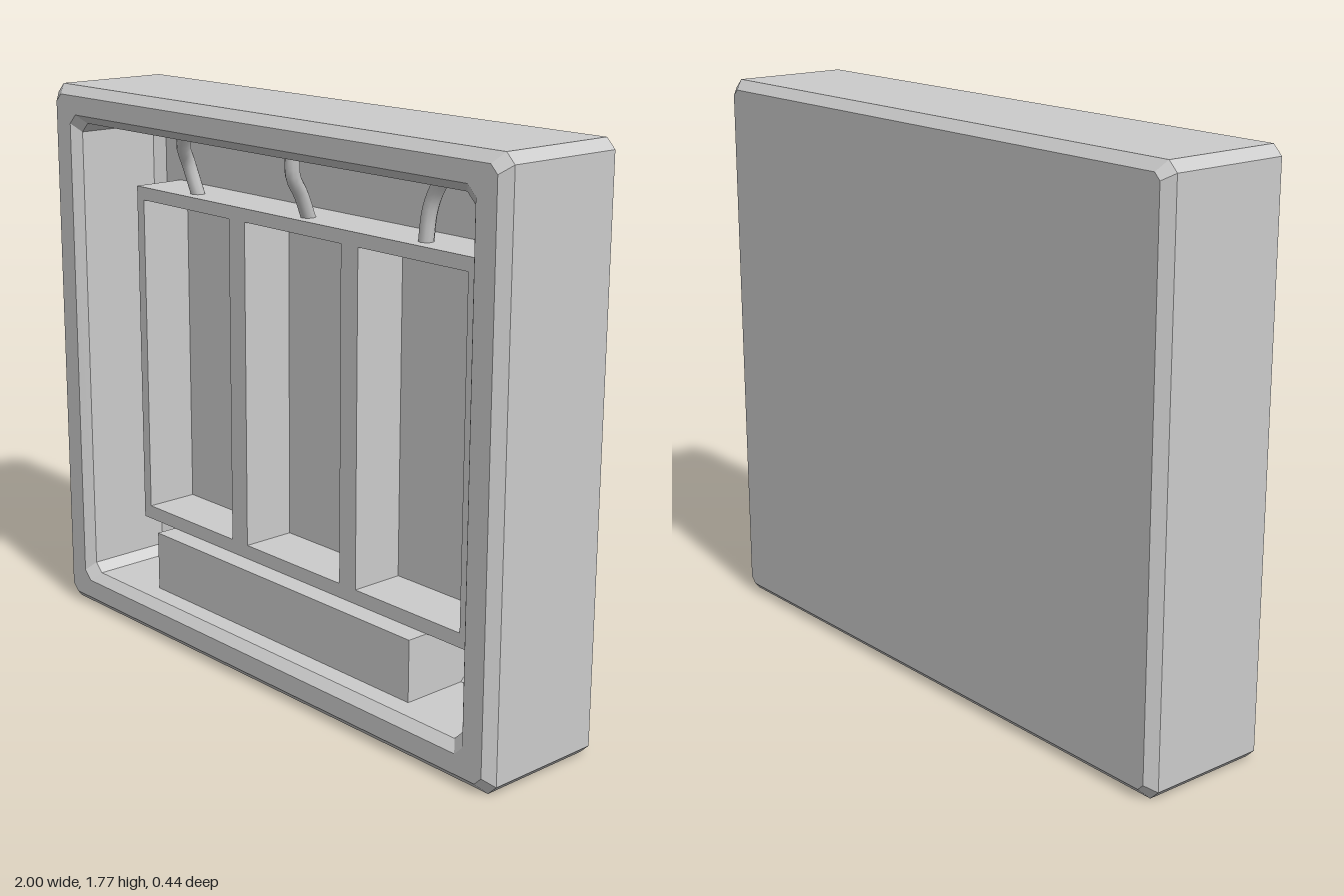
import * as THREE from 'three';

const material = new THREE.MeshStandardMaterial({ color: 0xcccccc, flatShading: true });
const smooth = new THREE.MeshStandardMaterial({ color: 0xcccccc });

// Rectangle with cut corners, counter-clockwise seen from the front
function ring(x, y0, y1, z, c) {
  return [
    [x - c, y0], [x, y0 + c], [x, y1 - c], [x - c, y1],
    [c - x, y1], [-x, y1 - c], [-x, y0 + c], [c - x, y0],
  ].map(([px, py]) => [px, py, z]);
}

// Skin a sequence of rings and close both ends
function loft(rings) {
  const pos = [];
  const tri = (a, b, c) => pos.push(...a, ...b, ...c);
  const first = rings[0], last = rings[rings.length - 1], n = first.length;
  for (let k = 0; k < rings.length - 1; k++) {
    for (let i = 0; i < n; i++) {
      const j = (i + 1) % n, a = rings[k], b = rings[k + 1];
      tri(a[i], a[j], b[j]);
      tri(a[i], b[j], b[i]);
    }
  }
  for (let i = 1; i < n - 1; i++) {
    tri(first[0], first[i + 1], first[i]);
    tri(last[0], last[i], last[i + 1]);
  }
  const geo = new THREE.BufferGeometry();
  geo.setAttribute('position', new THREE.Float32BufferAttribute(pos, 3));
  geo.computeVertexNormals();
  return geo;
}

function rect(Type, x0, x1, y0, y1) {
  const path = new Type();
  path.moveTo(x0, y0).lineTo(x1, y0).lineTo(x1, y1).lineTo(x0, y1).closePath();
  return path;
}
// moveTo/lineTo chain on THREE.Path returns the path itself

export function createModel() {
  const group = new THREE.Group();
  const add = (name, geo, mat = material) => {
    const mesh = new THREE.Mesh(geo, mat);
    mesh.name = name;
    group.add(mesh);
    return mesh;
  };
  const front = 0.222, floorZ = -0.118, dividerZ = 0.06;

  // Chamfered housing with a recessed, chamfered cavity
  add('housing', loft([
    ring(0.97, 0.03, 1.74, -front, 0.02),
    ring(1, 0, 1.77, -front + 0.03, 0.03),
    ring(1, 0, 1.77, front - 0.03, 0.03),
    ring(0.97, 0.03, 1.74, front, 0.025),
    ring(0.897, 0.092, 1.68, front, 0.03),
    ring(0.87, 0.12, 1.653, front - 0.028, 0.03),
    ring(0.87, 0.12, 1.653, floorZ + 0.03, 0.03),
    ring(0.84, 0.15, 1.625, floorZ, 0.02),
  ]));

  // Divider frame with three open compartments
  const frame = rect(THREE.Shape, -0.765, 0.76, 0.315, 1.447);
  for (const x of [-0.73, -0.22, 0.287]) {
    frame.holes.push(rect(THREE.Path, x, x + 0.435, 0.36, 1.405));
  }
  const divider = add('dividerFrame',
    new THREE.ExtrudeGeometry(frame, { depth: dividerZ - floorZ, bevelEnabled: false }));
  divider.position.z = floorZ;

  // Block below the divider, resting on the cavity floor
  const blockDepth = 0.13 - floorZ;
  const block = add('lowerBlock', new THREE.BoxGeometry(1.19, 0.195, blockDepth));
  block.position.set(-0.005, 0.2175, 0.13 - blockDepth / 2);

  // Bent cables from the divider up to the cavity ceiling
  const cables = [
    [[-0.52, 1.44, 0], [-0.532, 1.55, 0.03], [-0.515, 1.6, 0.06], [-0.475, 1.665, 0.08]],
    [[0.008, 1.44, 0], [0.018, 1.52, 0.04], [0.028, 1.58, 0.08], [0.038, 1.665, 0.09]],
    [[0.5, 1.44, 0], [0.512, 1.53, 0], [0.53, 1.58, 0], [0.59, 1.665, 0.01]],
  ];
  cables.forEach((points, i) => {
    const curve = new THREE.CatmullRomCurve3(points.map((p) => new THREE.Vector3(...p)));
    add(`cable${i + 1}`, new THREE.TubeGeometry(curve, 12, 0.023, 10), smooth);
  });

  return group;
}
